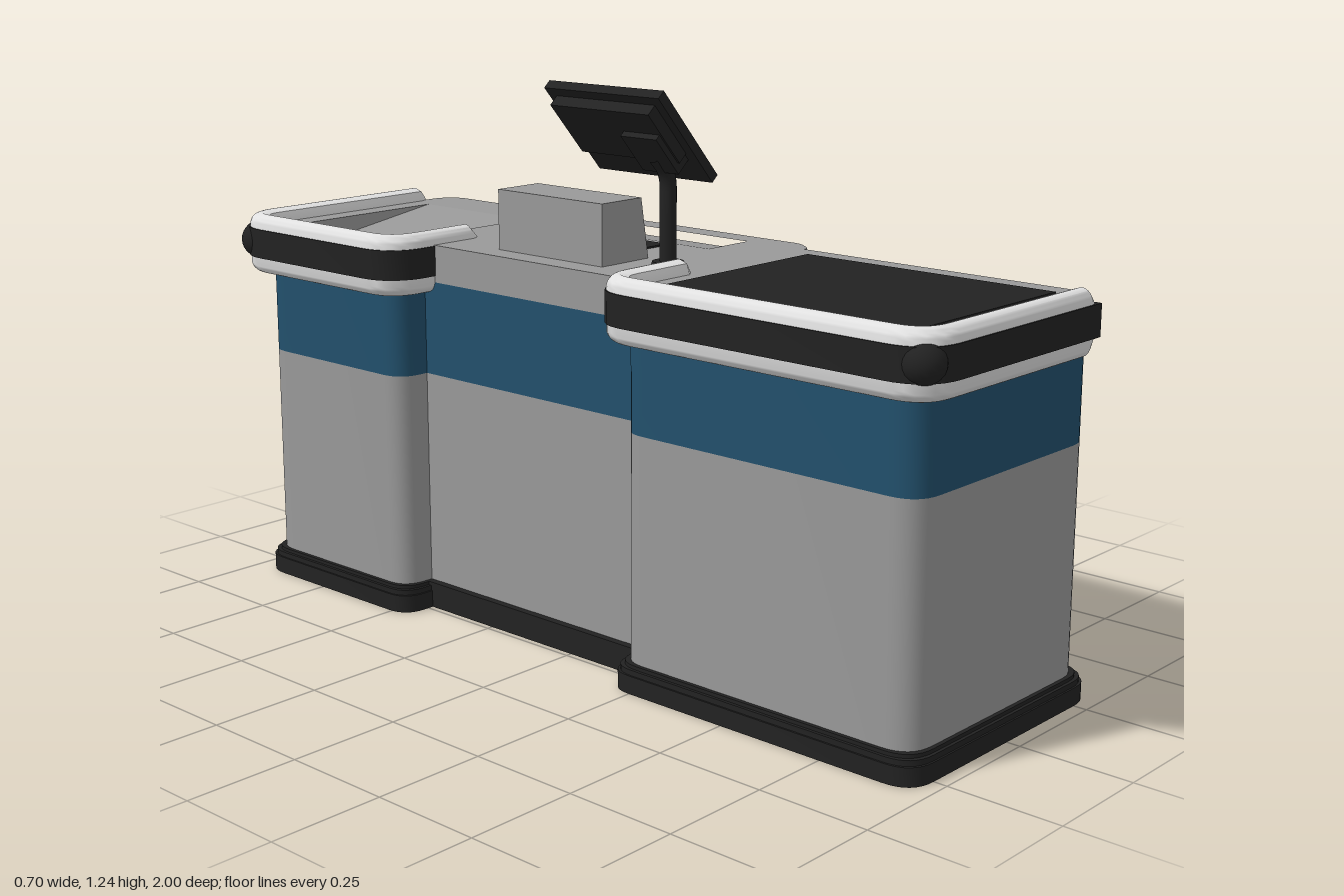
import * as THREE from 'three';
import { toCreasedNormals } from 'three/addons/utils/BufferGeometryUtils.js';

const material = (name, color) => {
  const m = new THREE.MeshStandardMaterial({ color });
  m.name = name;
  return m;
};
const grey = material('panel grey', 0x999999);
const dark = material('rubber black', 0x222222);
const blue = material('band blue', 0x22506c);
const white = material('rail white', 0xe0e0e0);

const TOP = 0.855; // counter surface height

// Path through [x, z, cornerRadius] points, with rounded corners
function outline(pts, closed = true) {
  const path = closed ? new THREE.Shape() : new THREE.Path();
  const n = pts.length;
  pts.forEach(([x, z, r = 0], i) => {
    const p = new THREE.Vector2(x, z);
    const toward = (q) => new THREE.Vector2(q[0], q[1]).sub(p).setLength(r).add(p);
    const a = r ? toward(pts[(i + n - 1) % n]) : p;
    if (i === 0) path.moveTo(a.x, a.y);
    else path.lineTo(a.x, a.y);
    if (r) {
      const b = toward(pts[(i + 1) % n]);
      path.quadraticCurveTo(x, z, b.x, b.y);
    }
  });
  if (closed) path.closePath();
  return path;
}

// Solid slab from a plan shape between two heights
function slab(shape, y0, y1) {
  const g = new THREE.ExtrudeGeometry(shape, { depth: y1 - y0, bevelEnabled: false, curveSegments: 8 });
  g.rotateX(Math.PI / 2).translate(0, y1, 0);
  return toCreasedNormals(g, 0.6);
}

// Solid with an x-y profile, running from z0 to z1
function prism(points, z0, z1) {
  const shape = new THREE.Shape(points.map(([x, y]) => new THREE.Vector2(x, y)));
  return new THREE.ExtrudeGeometry(shape, { depth: z1 - z0, bevelEnabled: false }).translate(0, 0, z0);
}

function box(x0, x1, y0, y1, z0, z1) {
  return new THREE.BoxGeometry(x1 - x0, y1 - y0, z1 - z0)
    .translate((x0 + x1) / 2, (y0 + y1) / 2, (z0 + z1) / 2);
}

// Sweep an (outward, height) profile along a plan path; endScale rounds the ends
function sweep(profile, pts, endScale) {
  const path = outline(pts, false).getPoints(8);
  const last = path.length - 1;
  const rings = path.map((p, i) => {
    const t = path[Math.min(i + 1, last)].clone().sub(path[Math.max(i - 1, 0)]).normalize();
    return { p, t, s: i === 0 || i === last ? endScale : 1 };
  });
  rings.unshift({ ...rings[0], s: 0 });
  rings.push({ ...rings[rings.length - 1], s: 0 });
  const m = profile.length;
  const cn = profile.reduce((a, q) => a + q[0], 0) / m;
  const cy = profile.reduce((a, q) => a + q[1], 0) / m;
  const pos = [], idx = [];
  rings.forEach(({ p, t, s }, i) => profile.forEach(([n, y], j) => {
    const d = cn + (n - cn) * s;
    pos.push(p.x + t.y * d, cy + (y - cy) * s, p.y - t.x * d);
    if (i === rings.length - 1) return;
    const k = (j + 1) % m, a = i * m + j, b = i * m + k;
    idx.push(a, b, b + m, a, b + m, a + m);
  }));
  const g = new THREE.BufferGeometry();
  g.setAttribute('position', new THREE.Float32BufferAttribute(pos, 3));
  g.setIndex(idx);
  return toCreasedNormals(g, 0.7);
}

export function createModel() {
  const model = new THREE.Group();
  model.name = 'checkoutCounter';
  const add = (name, geometry, mat, parent = model) => {
    const mesh = new THREE.Mesh(geometry, mat);
    mesh.name = name;
    parent.add(mesh);
    return mesh;
  };

  // End cabinets with kick plates
  const plan = (zIn, s, o) => outline([
    [0.3 + o, zIn], [0.3 + o, s * (0.95 + o), 0.07], [-0.3 - o, s * (0.95 + o), 0.07],
    [-0.3 - o, zIn - s * o, 0.06], [-0.21, zIn - s * o], [-0.21, zIn],
  ]);
  for (const [label, zIn, s] of [['front', 0.21, 1], ['back', -0.47, -1]]) {
    add(label + 'Cabinet', slab(plan(zIn, s, 0), 0.01, 0.555), grey);
    add(label + 'CabinetBand', slab(plan(zIn, s, 0), 0.555, 0.77), blue);
    [[0.02, 0, 0.04], [0.016, 0.04, 0.052], [0.009, 0.052, 0.06]].forEach(([o, y0, y1]) =>
      add(label + 'KickPlate', slab(plan(zIn, s, o), y0, y1), dark));
  }

  // Middle section: thin back panel, apron over the knee space
  add('middlePanel', box(-0.22, -0.2, 0, 0.555, -0.47, 0.21), grey);
  add('middlePanelBand', box(-0.22, -0.2, 0.555, 0.65, -0.47, 0.21), blue);
  add('apron', box(-0.22, 0.3, 0.65, 0.77, -0.47, 0.21), blue);
  add('middleKickPlate', box(-0.237, -0.22, 0, 0.06, -0.47, 0.21), dark);

  // Countertop with two sloping recesses
  const counter = outline([
    [-0.3, 0.95, 0.07], [0.3, 0.95, 0.07], [0.3, 0.21], [0.318, 0.204, 0.01], [0.35, 0.16, 0.02],
    [0.35, -0.42, 0.02], [0.318, -0.472, 0.01], [0.3, -0.476], [0.3, -0.95, 0.07],
    [-0.3, -0.95, 0.07], [-0.3, -0.47, 0.06], [-0.22, -0.47], [-0.22, 0.21], [-0.3, 0.21, 0.06],
  ]);
  const tray = (name, xDeep, xFlush, z0, z1, depth) => {
    counter.holes.push(outline([[xDeep, z0], [xFlush, z0], [xFlush, z1], [xDeep, z1]]));
    const pts = [[xDeep, 0.77], [xFlush, 0.77], [xFlush, TOP], [xDeep, TOP - depth]];
    add(name, prism(pts, z0, z1), grey);
  };
  tray('baggingTray', -0.22, 0.17, -0.89, -0.54, 0.06);
  tray('keyboardTray', 0.292, 0.16, -0.32, 0.05, 0.02);
  add('countertop', slab(counter, 0.77, TOP), grey);

  add('conveyorBelt', box(-0.245, 0.24, TOP - 0.003, TOP + 0.004, 0.265, 0.89), dark);
  add('scannerPad', box(0.02, 0.13, TOP - 0.003, TOP + 0.004, -0.22, 0.05 - 0.1), dark);

  // Bumper rails wrapped round both ends
  const rail = [];
  for (let i = 0; i < 16; i++) {
    const a = -Math.PI / 2 + (i / 15) * Math.PI, b = i < 8 ? a * 1 : a;
    rail.push([0.027 * Math.cos(b), (i < 8 ? 0.772 : 0.858) + 0.027 * Math.sin(b)]);
  }
  rail.push([-0.02, 0.878], [-0.027, 0.858], [-0.027, 0.772], [-0.02, 0.752]);
  const strip = [[0.015, 0.785], [0.03, 0.785], [0.03, 0.853], [0.015, 0.853]];
  const bumperPath = (e) => [
    [0.22 + e, 0.97], [0.2, 0.97], [-0.32, 0.97, 0.07], [-0.32, 0.193, 0.07], [-0.1, 0.193], [-0.08 + e, 0.193],
  ];
  const backPath = (e) => [
    [-0.08 + e, -0.463], [-0.1, -0.463], [-0.32, -0.463, 0.07], [-0.32, -0.97, 0.07], [0.2, -0.97], [0.22 + e, -0.97],
  ];
  for (const [label, path, s] of [['front', bumperPath, 1], ['back', backPath, -1]]) {
    add(label + 'BumperRail', sweep(rail, path(0), 0.7), white);
    add(label + 'BumperStrip', sweep(strip, path(0.01), 1), dark);
    const corner = add(label + 'BumperCorner', new THREE.SphereGeometry(0.045, 20, 14), dark);
    corner.position.set(-0.305, 0.82, s * 0.955);
  }

  // Receipt unit with a dark sloping face
  add('receiptUnit', prism([[-0.16, TOP], [-0.015, TOP], [-0.037, 0.99], [-0.16, 0.99]], -0.288, 0.027), grey);
  add('receiptUnitFace', prism([[-0.018, 0.862], [-0.013, 0.862], [-0.033, 0.984], [-0.038, 0.984]], -0.28, 0.019), dark);

  // Monitor stand
  const base = add('standBase', new THREE.CylinderGeometry(0.034, 0.038, 0.012, 24), dark);
  base.position.set(-0.06, TOP + 0.006, 0.125);
  const pole = new THREE.CurvePath();
  const at = (x, y) => new THREE.Vector3(x, y, 0.125);
  pole.add(new THREE.LineCurve3(at(-0.06, TOP), at(-0.06, 1.02)));
  pole.add(new THREE.QuadraticBezierCurve3(at(-0.06, 1.02), at(-0.06, 1.055), at(-0.08, 1.075)));
  pole.add(new THREE.LineCurve3(at(-0.08, 1.075), at(-0.1, 1.095)));
  add('standPole', new THREE.TubeGeometry(pole, 40, 0.018, 16), dark);

  // Tilted monitor: slab, rear housing and mount
  const monitor = new THREE.Group();
  monitor.name = 'monitor';
  monitor.position.set(-0.085, 1.138, 0.04);
  monitor.rotation.z = -0.84;
  model.add(monitor);
  add('monitorScreen', box(-0.127, 0.127, -0.011, 0.011, -0.163, 0.163), dark, monitor);
  add('monitorHousing', box(-0.105, 0.04, -0.038, -0.011, -0.14, 0.14), dark, monitor);
  add('monitorMount', box(-0.045, 0.06, -0.052, -0.011, 0.035, 0.135), dark, monitor);
  return model;
}
